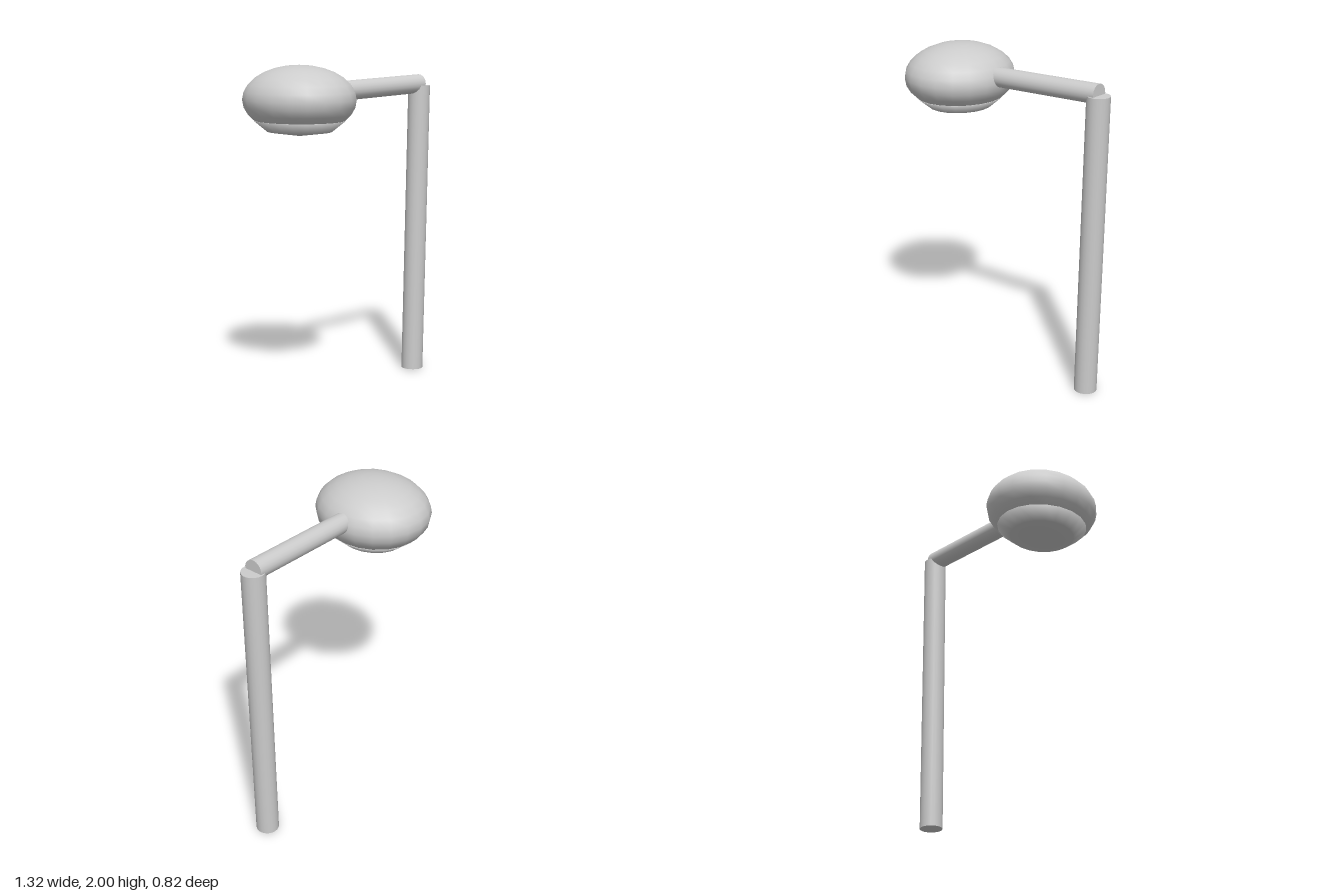
import * as THREE from 'three';

const ARM_YAW = 0.41;

export function createModel() {
  const group = new THREE.Group();
  const metal = new THREE.MeshStandardMaterial({ color: 0xcccccc });
  metal.name = 'lightGrey';

  const add = (parent, name, geometry) => {
    const mesh = new THREE.Mesh(geometry, metal);
    mesh.name = name;
    parent.add(mesh);
    return mesh;
  };

  // Closed rod between two points
  const rod = (name, from, to, radius) => {
    const a = new THREE.Vector3(...from), b = new THREE.Vector3(...to);
    const dir = b.clone().sub(a);
    const mesh = add(group, name, new THREE.CylinderGeometry(radius, radius, dir.length(), 20));
    mesh.position.copy(a).add(b).multiplyScalar(0.5);
    mesh.quaternion.setFromUnitVectors(new THREE.Vector3(0, 1, 0), dir.normalize());
  };

  // Slightly leaning post, and the arm resting across its top
  rod('post', [0.553, 0.003, -0.33], [0.592, 1.843, -0.342], 0.069);
  rod('arm', [-0.12, 1.831, -0.035], [0.592, 1.852, -0.345], 0.059);

  // Lamp head, turned to line up with the arm
  const lamp = new THREE.Group();
  lamp.name = 'lamp';
  lamp.position.set(-0.34, 1.8, 0.067);
  lamp.rotation.y = ARM_YAW;
  group.add(lamp);

  const shade = add(lamp, 'shade', new THREE.SphereGeometry(1, 20, 14));
  shade.scale.set(0.321, 0.2, 0.352);

  // Shallow bowl under the shade, closed by a flat rim
  const bowl = new THREE.Group();
  bowl.name = 'bowl';
  bowl.position.y = -0.122;
  bowl.scale.set(0.258, 0.091, 0.283);
  lamp.add(bowl);
  add(bowl, 'bowlShell', new THREE.SphereGeometry(1, 20, 2, 0, Math.PI * 2, Math.PI / 2, Math.PI / 2));
  add(bowl, 'bowlRim', new THREE.CircleGeometry(1, 20).rotateX(-Math.PI / 2));

  return group;
}
